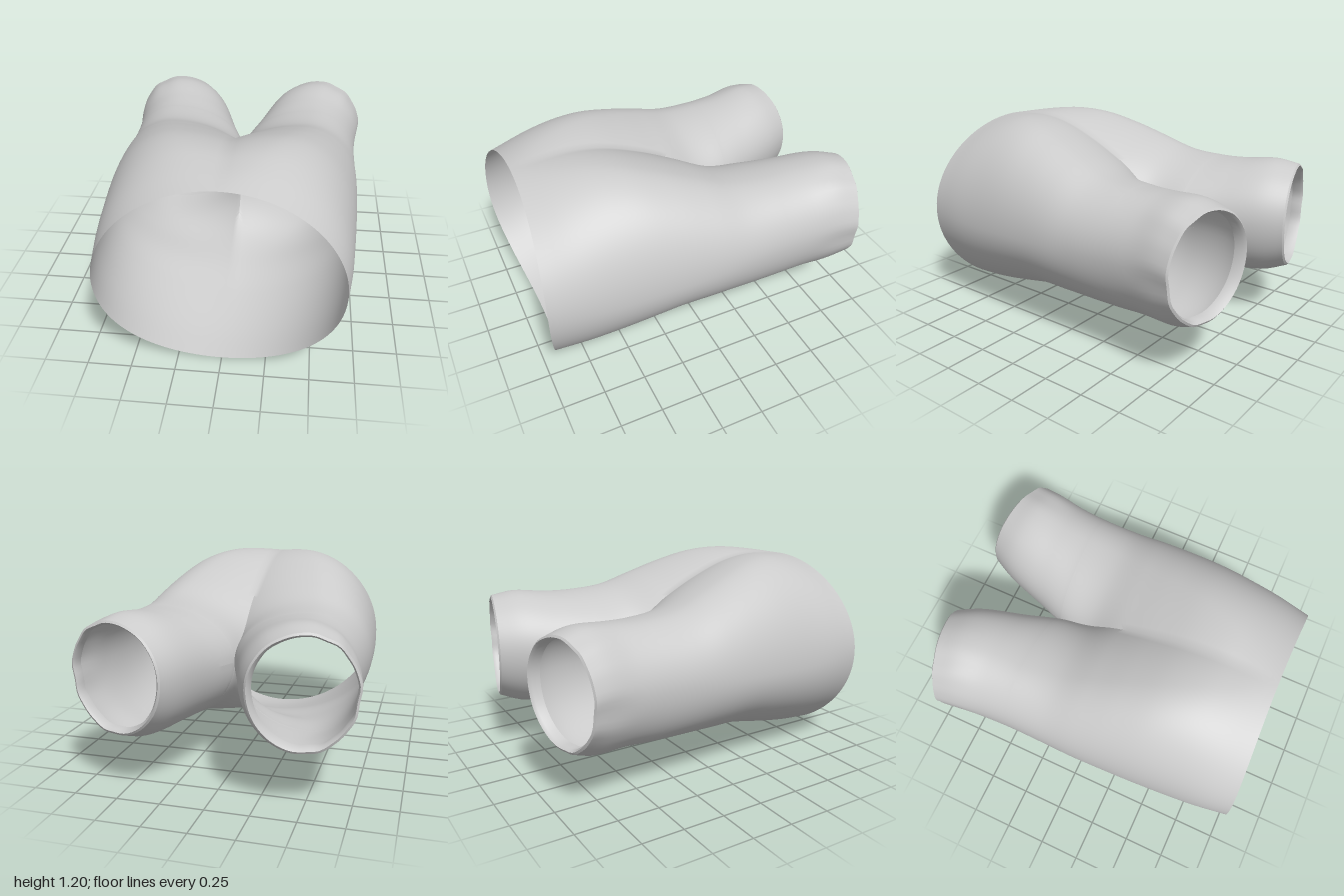
import * as THREE from 'three';
import { mergeGeometries, mergeVertices, toCreasedNormals } from 'three/addons/utils/BufferGeometryUtils.js';

// Sections from waist to leg hem:
// z, top y, bottom y, side y, outer x, centre x and inner radius of upper half, then of lower half
const STATIONS = [
  [0.995, 1.15, 0.0, 0.6, 0.67, 0.0, 0.67, 0.0, 0.67],
  [0.8, 1.18, 0.025, 0.6, 0.70, 0.12, 0.72, 0.0, 0.7],
  [0.6, 1.197, 0.06, 0.6, 0.718, 0.2, 0.72, 0.01, 0.7],
  [0.4, 1.18, 0.105, 0.61, 0.732, 0.27, 0.71, 0.04, 0.68],
  [0.2, 1.125, 0.165, 0.62, 0.742, 0.33, 0.67, 0.12, 0.63],
  [0.0, 1.055, 0.205, 0.63, 0.748, 0.38, 0.59, 0.25, 0.55],
  [-0.2, 0.988, 0.25, 0.64, 0.745, 0.42, 0.475, 0.39, 0.465],
  [-0.42, 0.97, 0.272, 0.65, 0.745, 0.445, 0.445, 0.445, 0.445],
  [-0.6, 0.978, 0.285, 0.66, 0.755, 0.45, 0.385, 0.45, 0.385],
  [-0.8, 0.998, 0.295, 0.68, 0.775, 0.48, 0.335, 0.48, 0.335],
  [-0.935, 0.975, 0.345, 0.68, 0.79, 0.515, 0.295, 0.515, 0.295],
];
const COLS = 64;
const Z0 = STATIONS[0][0], Z1 = STATIONS[STATIONS.length - 1][0], CROTCH = -0.42;

// Smooth (Hermite) interpolation of the section values at z
function section(z) {
  const S = STATIONS, last = S.length - 1;
  let i = 0;
  while (i < last - 1 && z < S[i + 1][0]) i++;
  const h = S[i + 1][0] - S[i][0], t = (z - S[i][0]) / h;
  const slope = (k, c) => {
    const a = Math.max(k - 1, 0), b = Math.min(k + 1, last);
    return (S[b][c] - S[a][c]) / (S[b][0] - S[a][0]);
  };
  return S[i].map((v, c) =>
    (2 * t ** 3 - 3 * t * t + 1) * v + (t ** 3 - 2 * t * t + t) * h * slope(i, c) +
    (3 * t * t - 2 * t ** 3) * S[i + 1][c] + (t ** 3 - t * t) * h * slope(i + 1, c));
}

// One ring: an arc that stops at the centre plane above the crotch, a closed loop below it
function ring(z, inset = 0, dz = 0) {
  const [, top, bottom, side, outer, cxT, rT, cxB, rB] = section(z);
  const closed = z <= CROTCH + 1e-6;
  const end = (cx, r) => (closed ? Math.PI : Math.acos(-Math.min(cx / r, 1)));
  const aT = end(cxT, rT), aB = end(cxB, rB);
  const waist = THREE.MathUtils.smoothstep(z, 0.3, Z0);
  const hem = 1 - THREE.MathUtils.smoothstep(z, Z1, -0.55);
  const pts = [];
  for (let j = 0; j <= COLS; j++) {
    const u = j / COLS * 2 - 1, up = u >= 0;
    const a = up ? u * aT : u * aB;
    const cx = up ? cxT : cxB, r = up ? rT : rB;
    const c = Math.cos(a), s = Math.sin(a);
    // Small gathered folds near the hem
    const k = 1 - inset + hem * 0.012 * (Math.sin(9 * a) + 0.6 * Math.sin(14 * a + 1)) * (0.5 + 0.5 * c);
    let x = cx + (c > 0 ? outer - cx : r) * c * k;
    if (!closed && (j === 0 || j === COLS)) x = 0;
    const y = side + (up ? top - side : side - bottom) * s * k;
    // Slanted hem, and a waistline that dips at top and bottom
    const zz = z + dz + hem * 0.065 * c - waist * s * s * (up ? 0.05 : 0.115);
    pts.push(x, y, zz);
  }
  return pts;
}

// Skin rings into a surface and mirror it to the other side
function mirroredSkin(rings) {
  const sides = [1, -1].map((m) => {
    const idx = [], n = COLS + 1;
    for (let i = 0; i < rings.length - 1; i++) {
      for (let j = 0; j < COLS; j++) {
        const a = i * n + j, b = a + n;
        if (m > 0) idx.push(a, b, a + 1, a + 1, b, b + 1);
        else idx.push(a, a + 1, b, a + 1, b + 1, b);
      }
    }
    const pos = rings.flat().map((v, i) => (i % 3 === 0 ? v * m : v));
    const g = new THREE.BufferGeometry();
    g.setAttribute('position', new THREE.Float32BufferAttribute(pos, 3));
    g.setIndex(idx);
    return g;
  });
  return toCreasedNormals(mergeVertices(mergeGeometries(sides), 1e-4), 0.9);
}

export function createModel() {
  const group = new THREE.Group();
  group.name = 'shorts';
  const cloth = new THREE.MeshStandardMaterial({ color: 0xcccccc, side: THREE.DoubleSide });
  const add = (name, rings) => {
    const mesh = new THREE.Mesh(mirroredSkin(rings), cloth);
    mesh.name = name;
    group.add(mesh);
  };

  // Body and legs: rows crowd together towards the crotch
  const rows = [];
  for (let i = 0; i <= 50; i++) rows.push(CROTCH + (Z0 - CROTCH) * (1 - i / 50) ** 1.7);
  for (let i = 1; i <= 18; i++) rows.push(CROTCH + (Z1 - CROTCH) * i / 18);
  add('bodyAndLegs', rows.map((z) => ring(z)));

  // Leg hems folded inwards
  add('legHems', [ring(Z1), ring(Z1, 0.04, -0.008), ring(Z1, 0.08, 0.01), ring(Z1, 0.08, 0.06)]);

  return group;
}
